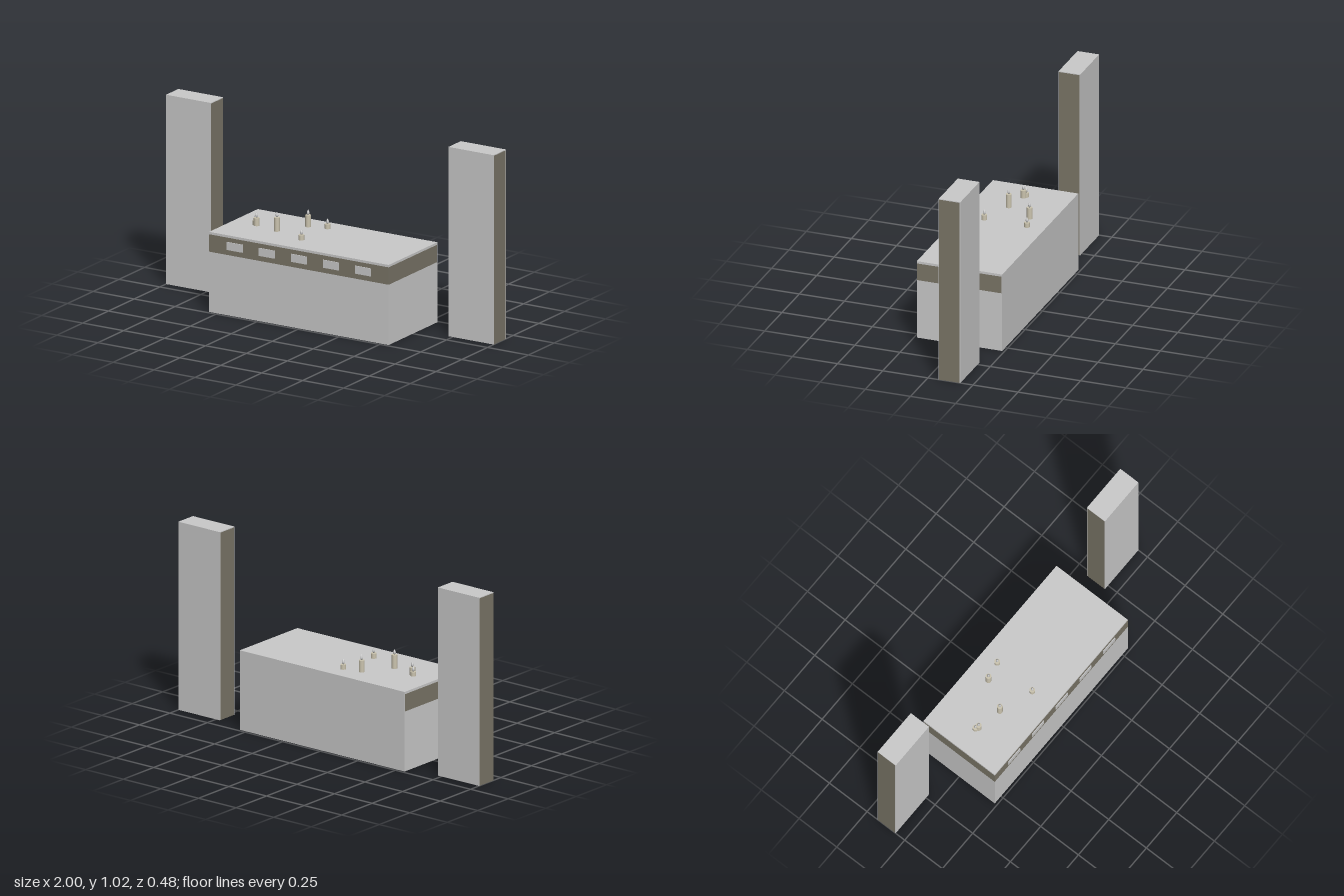
import * as THREE from 'three';

function material(name, color) {
  const m = new THREE.MeshStandardMaterial({ color });
  m.name = name;
  return m;
}

export function createModel() {
  const stone = material('pale stone', 0xcacaca);
  const trim = material('dark taupe', 0x7a7567);
  const wax = material('candle wax', 0xcac3ae);

  const root = new THREE.Group();
  root.name = 'altarWithPillars';

  // Box given by its limits on each axis
  const box = (parent, name, mat, [x0, x1], [y0, y1], [z0, z1]) => {
    const mesh = new THREE.Mesh(new THREE.BoxGeometry(x1 - x0, y1 - y0, z1 - z0), mat);
    mesh.position.set((x0 + x1) / 2, (y0 + y1) / 2, (z0 + z1) / 2);
    mesh.name = name;
    parent.add(mesh);
  };

  // Pillars: dark core faced with pale slabs at front, back and top
  for (const [name, x] of [['rightPillar', [-1, -0.726]], ['leftPillar', [0.724, 1]]]) {
    const pillar = new THREE.Group();
    pillar.name = name;
    box(pillar, 'pillarCore', trim, x, [0, 1.02], [-0.176, -0.063]);
    box(pillar, 'pillarFrontSlab', stone, x, [0, 1.02], [-0.063, -0.06]);
    box(pillar, 'pillarBackSlab', stone, x, [0, 1.02], [-0.18, -0.176]);
    box(pillar, 'pillarCap', stone, x, [1.02, 1.024], [-0.18, -0.06]);
    root.add(pillar);
  }

  // Altar block with a dark band under the table top; the back stays pale
  const altar = new THREE.Group();
  altar.name = 'altar';
  const width = [-0.551, 0.545];
  box(altar, 'altarBase', stone, width, [0, 0.326], [-0.237, 0.236]);
  box(altar, 'altarBand', trim, width, [0.326, 0.42], [-0.233, 0.236]);
  box(altar, 'altarBandBack', stone, width, [0.326, 0.42], [-0.237, -0.233]);
  box(altar, 'altarTop', stone, width, [0.42, 0.433], [-0.237, 0.236]);

  // Row of pale inlays on the front of the band
  for (let i = 0; i < 5; i++) {
    const x = -0.393 + i * 0.1955;
    box(altar, 'bandInlay', stone, [x - 0.048, x + 0.048], [0.354, 0.397], [0.236, 0.24]);
  }
  root.add(altar);

  // Candles: x, z and height of the wax
  const flameProfile = [[0, 0], [0.004, 0.002], [0.0075, 0.009], [0.0065, 0.017], [0.003, 0.025], [0, 0.03]]
    .map(([r, y]) => new THREE.Vector2(r, y));
  const flameGeometry = new THREE.LatheGeometry(flameProfile, 16);
  const candles = [
    [-0.417, 0, 0.023], [-0.403, 0.01, 0.042], [-0.262, 0.037, 0.074],
    [-0.167, -0.115, 0.063], [-0.064, -0.14, 0.025], [-0.073, 0.1, 0.027],
  ];
  for (const [x, z, h] of candles) {
    const candle = new THREE.Group();
    candle.name = 'candle';
    candle.position.set(x, 0.433, z);
    const body = new THREE.Mesh(new THREE.CylinderGeometry(0.015, 0.015, h, 20), wax);
    body.name = 'candleBody';
    body.position.y = h / 2;
    const flame = new THREE.Mesh(flameGeometry, stone);
    flame.name = 'candleFlame';
    flame.position.y = h;
    candle.add(body, flame);
    root.add(candle);
  }

  return root;
}
